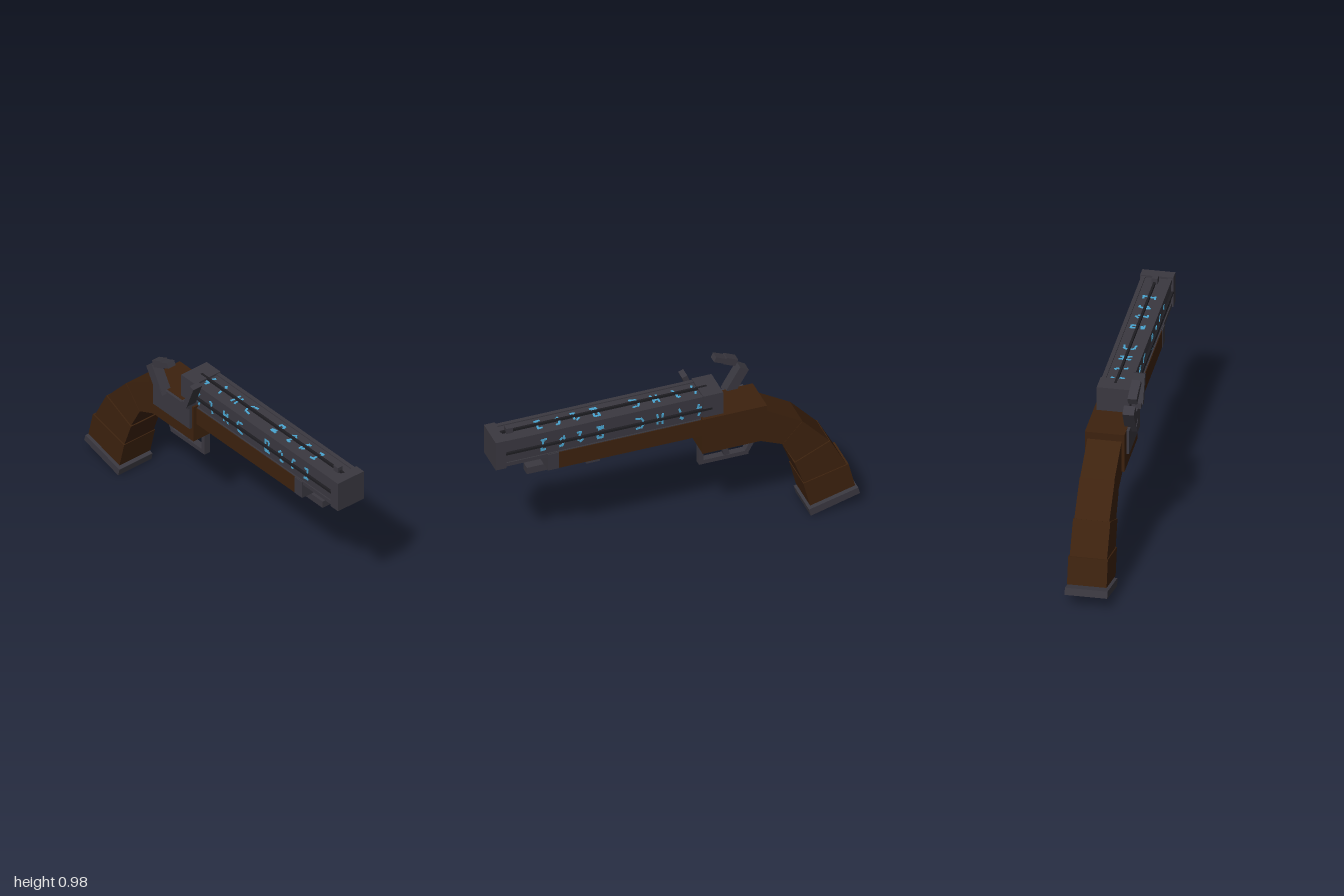
import * as THREE from 'three';

const ZC = -0.02; // middle plane of the pistol

export function createModel() {
  const model = new THREE.Group();
  model.name = 'flintlockPistol';
  const mat = (name, color) => {
    const m = new THREE.MeshStandardMaterial({ color });
    m.name = name;
    return m;
  };
  const metal = mat('gunmetal', 0x3a3840);
  const wood = mat('dark wood', 0x3d220e);
  const dark = mat('dark iron', 0x1e1d22);
  const glow = mat('blue rune', 0x4aa6d2);

  const add = (name, geo, material, parent = model) => {
    const mesh = new THREE.Mesh(geo, material);
    mesh.name = name;
    parent.add(mesh);
    return mesh;
  };
  // box from its limits
  const block = (name, material, x0, x1, y0, y1, z0, z1) => {
    const m = add(name, new THREE.BoxGeometry(x1 - x0, y1 - y0, z1 - z0), material);
    m.position.set((x0 + x1) / 2, (y0 + y1) / 2, (z0 + z1) / 2);
    return m;
  };
  // box turned about z
  const tilted = (name, material, x, y, z, w, h, d, angle) => {
    const m = add(name, new THREE.BoxGeometry(w, h, d), material);
    m.position.set(x, y, z);
    m.rotation.z = angle;
    return m;
  };
  // side outline extruded across the pistol
  const slab = (name, material, pts, halfWidth) => {
    const shape = new THREE.Shape(pts.map(p => new THREE.Vector2(...p)));
    const geo = new THREE.ExtrudeGeometry(shape, { depth: halfWidth * 2, bevelEnabled: false });
    geo.translate(0, 0, ZC - halfWidth);
    return add(name, geo, material);
  };

  // curved grip, four segments growing wider toward the butt
  slab('gripUpper', wood, [[-0.49, 0.72], [-0.69, 0.6], [-0.595, 0.475], [-0.43, 0.545], [-0.43, 0.72]], 0.09);
  slab('gripMiddle', wood, [[-0.69, 0.6], [-0.845, 0.43], [-0.65, 0.35], [-0.58, 0.48]], 0.092);
  slab('gripLower', wood, [[-0.84, 0.44], [-0.94, 0.25], [-0.7, 0.195], [-0.643, 0.35]], 0.098);
  slab('gripEnd', wood, [[-0.94, 0.27], [-0.975, 0.125], [-0.727, 0.06], [-0.69, 0.21]], 0.104);
  slab('buttPlate', metal, [[-0.99, 0.112], [-1, 0.075], [-0.728, 0], [-0.718, 0.042]], 0.112);

  // stock
  block('receiver', wood, -0.49, -0.135, 0.543, 0.76, -0.123, 0.085);
  block('foreStock', wood, -0.14, 0.655, 0.645, 0.745, -0.104, 0.064);
  block('foreStockCap', metal, 0.65, 0.712, 0.645, 0.745, -0.106, 0.066);
  block('ramrod', metal, -0.14, 0.805, 0.605, 0.645, -0.046, 0.006);
  block('ramrodRing', metal, 0.405, 0.48, 0.592, 0.65, -0.052, 0.014);

  // barrel with corner strips and a thin rail down each side
  const barrel = new THREE.Group();
  barrel.name = 'barrel';
  barrel.position.set(0, 0.808, ZC);
  model.add(barrel);
  add('barrelCore', new THREE.BoxGeometry(1.1, 0.15, 0.15), metal, barrel).position.x = 0.4;
  for (const sy of [-1, 1]) for (const sz of [-1, 1]) {
    add('cornerStrip', new THREE.BoxGeometry(1.1, 0.022, 0.022), metal, barrel)
      .position.set(0.4, sy * 0.07, sz * 0.07);
  }
  block('breech', metal, -0.255, -0.145, 0.722, 0.894, -0.106, 0.066);
  block('muzzle', metal, 0.94, 1, 0.721, 0.895, -0.107, 0.067);
  block('frontSight', metal, 0.878, 0.915, 0.88, 0.915, -0.036, -0.004);

  // rune strokes: along the barrel, across it, length, angle
  const runes = [
    [[0, 0.026, 0.022, 1.1], [0.004, -0.024, 0.028, 1.3], [-0.008, -0.014, 0.014, 0.2]],
    [[0, 0.018, 0.024, 1.5], [-0.008, 0.03, 0.016, 0.6], [0.006, -0.024, 0.024, 1.9]],
    [[-0.014, 0.02, 0.03, 1.5], [0.014, 0.018, 0.026, 1.5], [0, 0.012, 0.03, 0], [-0.014, -0.018, 0.026, 1.4], [0.014, -0.02, 0.026, 1.8]],
    [[-0.012, 0.022, 0.026, 1], [0.012, 0.03, 0.024, 0.2], [-0.012, -0.02, 0.028, 2.1], [0.012, -0.03, 0.026, -0.2], [-0.016, 0.012, 0.016, 1.5]],
    [[0, 0.034, 0.036, 0], [0.014, 0.02, 0.024, 1.4], [-0.014, 0.02, 0.022, 1.7], [0, -0.034, 0.04, 0], [-0.004, -0.022, 0.034, 0.2]],
    [[-0.008, 0.024, 0.026, 0.7], [0.01, 0.014, 0.018, 1.5], [0, -0.02, 0.03, 1.2], [0.01, -0.03, 0.018, 0.1]],
    [[0, 0.02, 0.034, 1.2], [0.012, 0.03, 0.018, 0.3], [-0.006, -0.018, 0.024, 1.7], [0.01, -0.014, 0.02, 0.8]],
    [[0, 0.03, 0.03, 0.1], [0.008, 0.018, 0.022, 1.4], [0, -0.018, 0.024, 1.5], [-0.004, -0.032, 0.034, 0.1]],
  ];
  const runeX = [-0.125, -0.025, 0.09, 0.2, 0.42, 0.53, 0.625, 0.735];
  for (let side = 0; side < 4; side++) {
    const face = new THREE.Group();
    face.name = 'barrelSide';
    face.rotation.x = side * Math.PI / 2;
    barrel.add(face);
    add('sideRail', new THREE.BoxGeometry(1.14, 0.012, 0.02), dark, face).position.set(0.375, 0, 0.078);
    runes.forEach((strokes, i) => strokes.forEach(([dx, dy, len, angle]) => {
      const s = add('runeStroke', new THREE.BoxGeometry(len, 0.011, 0.004), glow, face);
      s.position.set(runeX[i] + dx, dy, 0.076);
      s.rotation.z = angle;
    }));
  }

  // lock on the left side
  block('lockPlate', metal, -0.44, -0.147, 0.622, 0.758, 0.07, 0.1);
  tilted('hammer', metal, -0.4, 0.815, 0.098, 0.055, 0.15, 0.06, 0.54);
  tilted('hammerPivot', metal, -0.365, 0.755, 0.115, 0.05, 0.05, 0.032, 0.54);
  tilted('flintJaw', metal, -0.37, 0.927, 0.109, 0.07, 0.04, 0.048, 0.42);
  tilted('flint', metal, -0.31, 0.952, 0.109, 0.06, 0.03, 0.048, 0.42);
  tilted('frizzen', metal, -0.135, 0.842, 0.092, 0.03, 0.16, 0.06, -0.37);
  block('pan', metal, -0.195, -0.145, 0.755, 0.785, 0.066, 0.115);

  // trigger and guard
  block('guardFront', metal, -0.172, -0.147, 0.412, 0.545, -0.038, 0);
  block('guardBottom', metal, -0.42, -0.147, 0.412, 0.436, -0.038, 0);
  tilted('guardRear', metal, -0.435, 0.475, ZC + 0.001, 0.024, 0.13, 0.037, 0.5);
  tilted('trigger', metal, -0.287, 0.495, ZC, 0.032, 0.12, 0.034, -0.25);

  return model;
}
